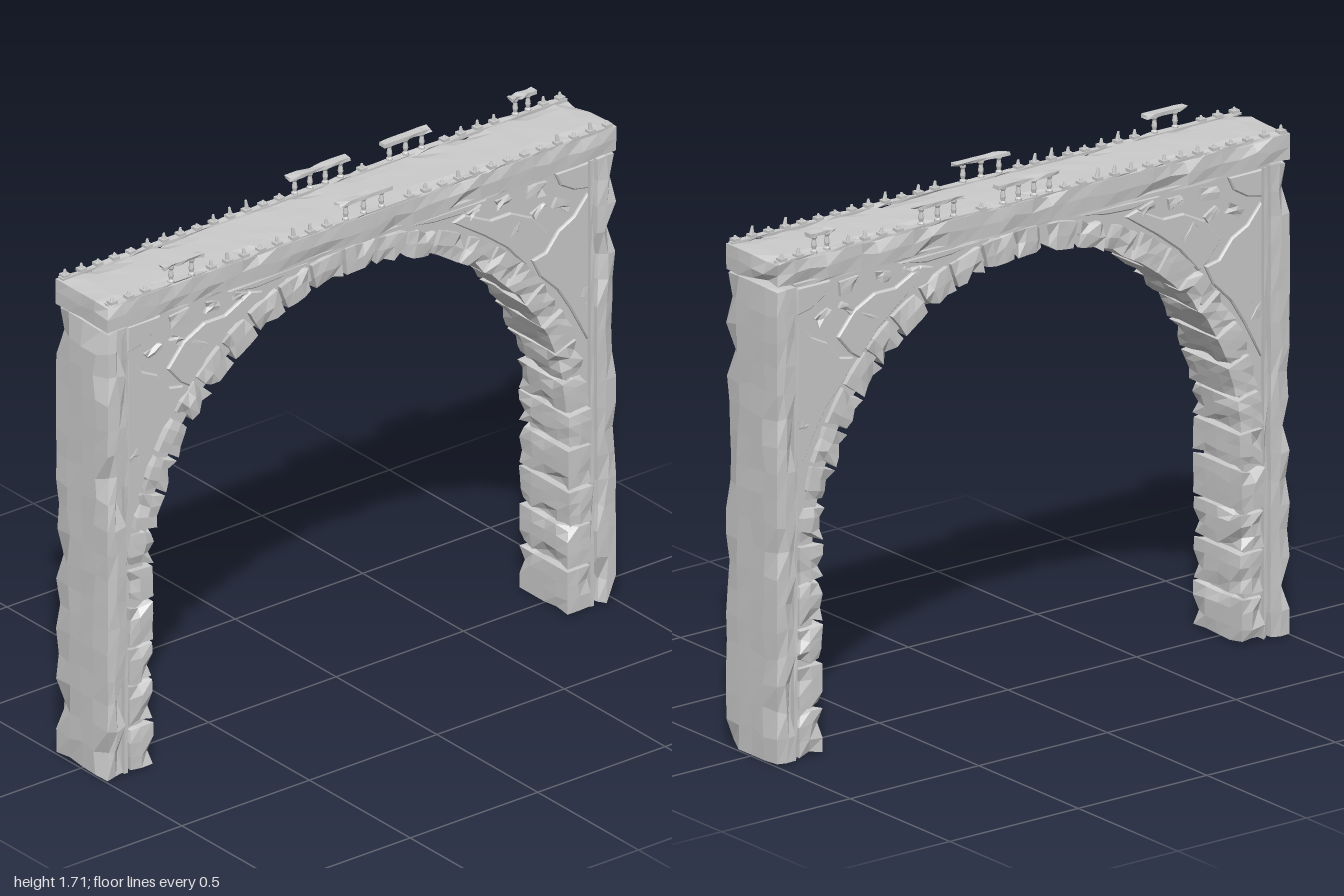
import * as THREE from 'three';

const STONE = new THREE.MeshStandardMaterial({ color: 0xcccccc, flatShading: true });
const SPRING = 0.64, R_IN = 0.81, R_OUT = 0.905, R_MID = (R_IN + R_OUT) / 2;

// Repeatable noise in 0..1 from a position and a seed
function noise(x, y, z, seed) {
  const q = (v) => Math.round(v * 1000);
  const s = Math.sin(q(x) * 12.9898 + q(y) * 78.233 + q(z) * 37.719 + seed * 4.137) * 43758.5453;
  return s - Math.floor(s);
}

function add(parent, name, geometry, x = 0, y = 0, z = 0) {
  const mesh = new THREE.Mesh(geometry, STONE);
  mesh.name = name;
  mesh.position.set(x, y, z);
  parent.add(mesh);
  return mesh;
}

// Box with worn, chipped edges and slightly dented faces
function wornBox(w, h, d, segs, wear, seed) {
  const geo = new THREE.BoxGeometry(w, h, d, ...segs);
  const p = geo.attributes.position;
  const half = [w / 2, h / 2, d / 2];
  for (let i = 0; i < p.count; i++) {
    const v = [p.getX(i), p.getY(i), p.getZ(i)];
    const onFace = v.map((c, k) => Math.abs(Math.abs(c) - half[k]) < 1e-5);
    const count = onFace.filter(Boolean).length;
    const n = noise(...v, seed);
    const pull = count > 1 ? wear * (0.12 + n ** 4) : wear * 0.12 * n;
    const out = v.map((c, k) => (onFace[k] ? c - Math.sign(c) * pull : c + (count === 1 ? (noise(...v, seed + k + 1) - 0.5) * wear : 0)));
    p.setXYZ(i, ...out);
  }
  geo.computeVertexNormals();
  return geo;
}

// Extrudes an outline drawn in (z, y) to a given thickness, centred on x = 0
function extrudeAcross(shape, depth, bevel = 0) {
  const geo = new THREE.ExtrudeGeometry(shape, {
    depth, curveSegments: 40, bevelEnabled: bevel > 0, bevelSize: bevel, bevelThickness: bevel, bevelSegments: 1,
  });
  return geo.translate(0, 0, -depth / 2).rotateY(-Math.PI / 2);
}

// Recessed wall behind the stones, pierced by the arch
function buildWall(root) {
  const r = R_IN + 0.03;
  const s = new THREE.Shape();
  s.moveTo(-0.94, 0.01);
  s.lineTo(-r, 0.01);
  s.lineTo(-r, SPRING);
  s.absarc(0, SPRING, r, Math.PI, 0, true);
  s.lineTo(r, 0.01);
  s.lineTo(0.94, 0.01);
  s.lineTo(0.94, 1.57);
  s.lineTo(-0.94, 1.57);
  s.closePath();
  add(root, 'spandrelWall', extrudeAcross(s, 0.2));
}

// Outer piers with a thin frame moulding along the inner side
function buildPiers(root) {
  for (const e of [-1, 1]) {
    add(root, 'pier', wornBox(0.262, 1.55, 0.08, [4, 18, 2], 0.024, 5 + e), 0, 0.775, e * 0.96);
    add(root, 'pierMoulding', wornBox(0.232, 1.54, 0.016, [1, 14, 1], 0.006, 9 + e), 0, 0.77, e * 0.914);
  }
  add(root, 'topMoulding', wornBox(0.232, 0.014, 1.84, [1, 1, 24], 0.004, 12), 0, 1.545, 0);
}

// Leg stones and wedge stones of the arch, each spanning the whole width
function buildArch(root) {
  const arch = new THREE.Group();
  arch.name = 'archStones';
  root.add(arch);
  const levels = [0, 0.155, 0.3, 0.43, 0.572];
  for (const e of [-1, 1]) {
    for (let i = 0; i < 4; i++) {
      const h = levels[i + 1] - levels[i];
      const n = noise(i, e, 0, 3);
      add(arch, 'legStone', wornBox(0.236 + n * 0.02, h - 0.006, 0.095, [4, 3, 2], 0.018, i * 7 + e),
        0, levels[i] + h / 2, e * (R_MID + 0.003 * n));
    }
  }
  const COUNT = 23, span = Math.PI + 0.16, step = span / COUNT;
  for (let i = 0; i < COUNT; i++) {
    const a = -span / 2 + (i + 0.5) * step;
    const n = noise(i, 2, 5, 8);
    const geo = wornBox(0.236 + n * 0.02, R_OUT - R_IN, step * R_MID - 0.007, [4, 2, 3], 0.017, i * 5);
    const p = geo.attributes.position;
    for (let k = 0; k < p.count; k++) {
      const r = R_MID + 0.005 * (n - 0.3) + p.getY(k);
      const t = a + p.getZ(k) / R_MID;
      p.setXYZ(k, p.getX(k), SPRING + r * Math.cos(t), r * Math.sin(t));
    }
    geo.computeVertexNormals();
    add(arch, 'wedgeStone', geo);
  }
}

// Broken plaster and exposed stones in the corners above the arch
function buildSpandrelRelief(root) {
  const patches = [
    [[0.9, 1.42], [0.85, 1.36], [0.79, 1.33], [0.74, 1.27], [0.69, 1.26], [0.72, 1.2], [0.79, 1.13], [0.84, 1.05], [0.9, 0.93]],
    [[0.74, 1.34], [0.68, 1.41], [0.6, 1.45], [0.52, 1.45], [0.42, 1.5], [0.38, 1.49], [0.5, 1.41], [0.59, 1.34], [0.66, 1.26], [0.69, 1.28]],
    [[0.9, 1.53], [0.78, 1.53], [0.8, 1.49], [0.85, 1.46], [0.9, 1.45]],
    [[0.5, 1.53], [0.2, 1.535], [0.3, 1.52], [0.4, 1.515]],
  ];
  const bricks = [[0.7, 1.5, 0.08, 0.05, 0.1], [0.57, 1.5, 0.06, 0.04, -0.15], [0.8, 1.42, 0.07, 0.04, 0.5],
    [0.88, 1.08, 0.04, 0.06, 0.1], [0.71, 1.43, 0.06, 0.03, -0.6], [0.62, 1.39, 0.07, 0.03, -0.7], [0.46, 1.5, 0.06, 0.03, -0.3]];
  for (const e of [-1, 1]) {
    const group = new THREE.Group();
    group.name = 'spandrelRelief';
    root.add(group);
    for (const pts of patches) {
      const shape = new THREE.Shape(pts.map(([z, y]) => new THREE.Vector2(z * e, y)));
      add(group, 'plasterPatch', extrudeAcross(shape, 0.212, 0.005));
    }
    bricks.forEach(([z, y, w, h, tilt], i) => {
      const brick = add(group, 'exposedStone', wornBox(0.228, h, w, [1, 2, 2], 0.012, i + e * 30), 0, y, z * e);
      brick.rotation.x = tilt * e;
    });
  }
}

// Deck slab with a low kerb on each side
function buildDeck(root) {
  add(root, 'deckSlab', wornBox(0.262, 0.09, 2, [4, 2, 30], 0.016, 41), 0, 1.594, 0);
  for (const s of [-1, 1]) {
    add(root, 'kerb', wornBox(0.026, 0.012, 1.98, [1, 1, 40], 0.005, 50 + s), s * 0.115, 1.638, 0);
  }
}

// Ruined balustrade: broken stubs, with whole balusters under the surviving rails
function buildBalustrade(root) {
  const rails = { '1': [[0.62, 0.78], [-0.12, 0.09]], '-1': [[-0.14, 0.1], [-0.46, -0.27], [-0.87, -0.77]] };
  const profile = [[0.011, 0], [0.011, 0.008], [0.006, 0.013], [0.009, 0.025], [0.006, 0.045], [0.01, 0.052], [0.01, 0.06]];
  const baluster = new THREE.LatheGeometry(profile.map(([r, y]) => new THREE.Vector2(r, y)), 8);
  for (const s of [-1, 1]) {
    const group = new THREE.Group();
    group.name = 'balustrade';
    root.add(group);
    const x = s * 0.117;
    for (const [a, b] of rails[s]) {
      add(group, 'handrail', wornBox(0.032, 0.015, b - a, [1, 1, 5], 0.006, a * 90), x, 1.703, (a + b) / 2);
      const n = Math.max(2, Math.round((b - a) / 0.065));
      for (let i = 0; i < n; i++) add(group, 'baluster', baluster, x, 1.64, a + ((i + 0.5) / n) * (b - a));
    }
    for (let i = 0; i < 31; i++) {
      const z = -0.97 + i * 0.0647;
      if (rails[s].some(([a, b]) => z > a - 0.02 && z < b + 0.02)) continue;
      const n = noise(i, s, 1, 6);
      const h = 0.014 + 0.022 * n * n;
      add(group, 'stubBase', new THREE.BoxGeometry(0.024, 0.01, 0.026), x, 1.646, z);
      const stub = add(group, 'brokenStub', new THREE.CylinderGeometry(0.004, 0.009, h, 6), x, 1.645 + h / 2, z);
      stub.rotation.x = (n - 0.5) * 0.3;
    }
  }
}

export function createModel() {
  const root = new THREE.Group();
  root.name = 'stoneArchBridge';
  buildWall(root);
  buildPiers(root);
  buildArch(root);
  buildSpandrelRelief(root);
  buildDeck(root);
  buildBalustrade(root);
  return root;
}
